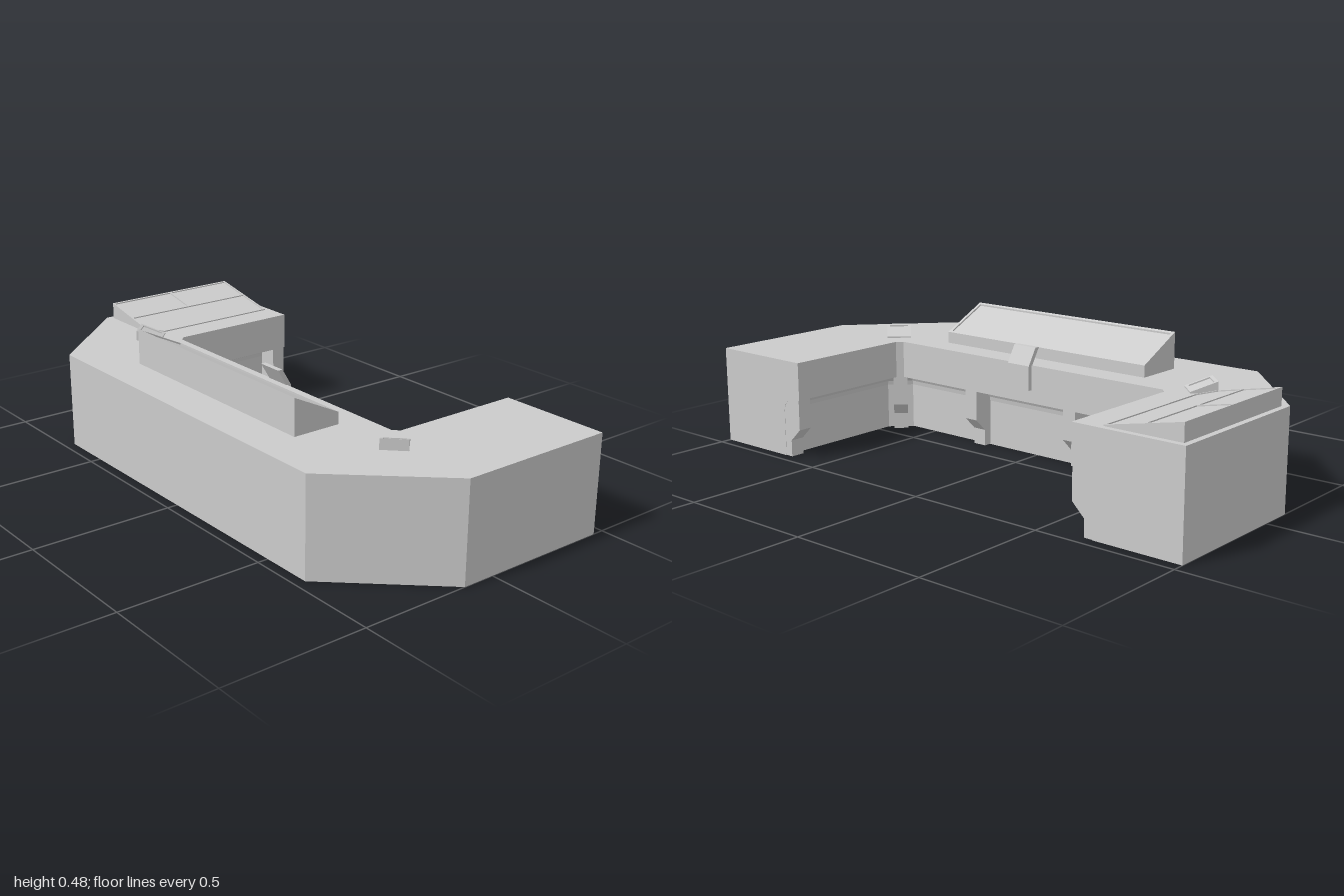
import * as THREE from 'three';

const material = new THREE.MeshStandardMaterial({ color: 0xcccccc, flatShading: true, side: THREE.DoubleSide });
const TOP = 0.348;

function addMesh(parent, name, geometry) {
  const mesh = new THREE.Mesh(geometry, material);
  mesh.name = name;
  parent.add(mesh);
  return mesh;
}

// Plan outline of the U-shaped desk; the inner edge is set back by d
function deskOutline(d) {
  const half = [
    [0.46, 0.603 + d], [-0.02 - 0.41 * d, 0.603 + d], [-0.04 - d, 0.583 + 0.41 * d],
  ];
  const outer = [[-0.463, 0.683], [-0.115, 1], [0.46, 1]];
  const mirror = (pts) => pts.map(([x, z]) => [x, -z]).reverse();
  return [...mirror(outer), ...outer, ...half, ...mirror(half)];
}

// Desk body: outlines stacked by height, with a coved recess under the inner lip
function deskBody() {
  const levels = [[0, 0.08]];
  for (let i = 0; i <= 5; i++) {
    const a = (i / 5) * Math.PI / 2;
    levels.push([0.165 + 0.048 * Math.sin(a), 0.032 + 0.048 * Math.cos(a)]);
  }
  levels.push([0.213, 0], [TOP, 0]);
  const rings = levels.map(([y, d]) => deskOutline(d).map(([x, z]) => new THREE.Vector3(x, y, z)));
  const pos = [];
  const tri = (...pts) => pts.forEach((p) => pos.push(p.x, p.y, p.z));
  for (let k = 0; k < rings.length - 1; k++) {
    const lo = rings[k], hi = rings[k + 1], n = lo.length;
    for (let i = 0; i < n; i++) {
      const j = (i + 1) % n;
      tri(lo[i], lo[j], hi[j]);
      tri(lo[i], hi[j], hi[i]);
    }
  }
  const cap = (ring, flip) => {
    const flat = ring.map((p) => new THREE.Vector2(p.x, -p.z));
    for (const [a, b, c] of THREE.ShapeUtils.triangulateShape(flat, [])) {
      if (flip) tri(ring[a], ring[c], ring[b]);
      else tri(ring[a], ring[b], ring[c]);
    }
  };
  cap(rings[0], true);
  cap(rings[rings.length - 1], false);
  const geo = new THREE.BufferGeometry();
  geo.setAttribute('position', new THREE.Float32BufferAttribute(pos, 3));
  geo.computeVertexNormals();
  return geo;
}

const planPoints = (pts) => pts.map(([x, z]) => new THREE.Vector2(x, -z));

// Upright prism over a plan shape whose top follows the rule height(x, z)
function slopedPrism(outline, holes, height) {
  const shape = new THREE.Shape(planPoints(outline));
  holes.forEach((h) => shape.holes.push(new THREE.Path(planPoints(h))));
  const geo = new THREE.ExtrudeGeometry(shape, { depth: 1, bevelEnabled: false }).rotateX(-Math.PI / 2);
  const p = geo.attributes.position;
  for (let i = 0; i < p.count; i++) {
    if (p.getY(i) > 0.5) p.setY(i, height(p.getX(i), p.getZ(i)));
    else p.setY(i, 0);
  }
  geo.computeVertexNormals();
  return geo;
}

// Sloped console: raised frame with slightly sunken faces in its openings
function slopedPanel(parent, name, outline, cells, height, sink = 0.006) {
  const group = new THREE.Group();
  group.name = name;
  group.position.y = TOP;
  parent.add(group);
  addMesh(group, 'frame', slopedPrism(outline, cells, height));
  cells.forEach((cell) =>
    addMesh(group, 'panelFace', slopedPrism(cell, [], (x, z) => height(x, z) - sink)));
  return group;
}

const rect = (x0, x1, z0, z1) => [[x0, z0], [x1, z0], [x1, z1], [x0, z1]];

// Extrude an upright side profile to a centred width
function profileGeometry(points, width) {
  const shape = new THREE.Shape(points.map(([x, y]) => new THREE.Vector2(x, y)));
  return new THREE.ExtrudeGeometry(shape, { depth: width, bevelEnabled: false }).translate(0, 0, -width / 2);
}

export function createModel() {
  const model = new THREE.Group();
  model.name = 'controlDesk';
  addMesh(model, 'deskBody', deskBody());

  // Support ribs under the lip: x, z, heading into the wall
  const rib = profileGeometry(
    [[0.09, 0.001], [0.05, 0.001], [0.05, 0.06], [0.004, 0.105], [0.004, 0.216], [0.09, 0.216]], 0.052);
  const ribs = [[-0.04, 0.248, Math.PI], [-0.04, -0.202, Math.PI]];
  for (const s of [1, -1]) {
    ribs.push([0.433, 0.603 * s, -s * Math.PI / 2], [-0.03, 0.593 * s, -s * Math.PI * 0.75]);
  }
  ribs.forEach(([x, z, angle]) => {
    const mesh = addMesh(model, 'supportRib', rib);
    mesh.position.set(x, 0, z);
    mesh.rotation.y = angle;
  });

  // Long main screen, high at the outer side
  slopedPanel(model, 'mainScreen', rect(-0.315, -0.138, -0.443, 0.443),
    [rect(-0.306, -0.147, -0.432, 0.432)],
    (x) => 0.128 - (x + 0.315) * 0.49);

  // Square pads turned toward the inside corners
  for (const s of [1, -1]) {
    const pad = slopedPanel(model, 'cornerPad', rect(-0.045, 0.045, -0.045, 0.045),
      [rect(-0.035, 0.035, -0.035, 0.035)],
      (x) => 0.021 - x * 0.36, 0.005);
    pad.position.set(-0.115, TOP, 0.68 * s);
    pad.rotation.y = s * Math.PI / 4;
  }

  // Divided console on the rear arm, with one clipped corner
  slopedPanel(model, 'sideConsole',
    [[-0.097, -0.98], [0.439, -0.98], [0.439, -0.703], [-0.04, -0.703], [-0.097, -0.757]],
    [
      rect(-0.091, 0.165, -0.973, -0.849),
      rect(0.173, 0.432, -0.973, -0.849),
      [[-0.091, -0.842], [0.432, -0.842], [0.432, -0.71], [-0.038, -0.71], [-0.091, -0.76]],
    ],
    (x, z) => 0.004 + (-0.703 - z) * 0.203, 0.004);

  // Small bent display clipped over the inner edge
  const display = addMesh(model, 'edgeDisplay', profileGeometry(
    [[-0.041, 0.26], [-0.024, 0.26], [-0.024, 0.347], [-0.06, 0.407], [-0.079, 0.407], [-0.041, 0.344]], 0.095));
  display.position.z = 0.008;

  return model;
}
